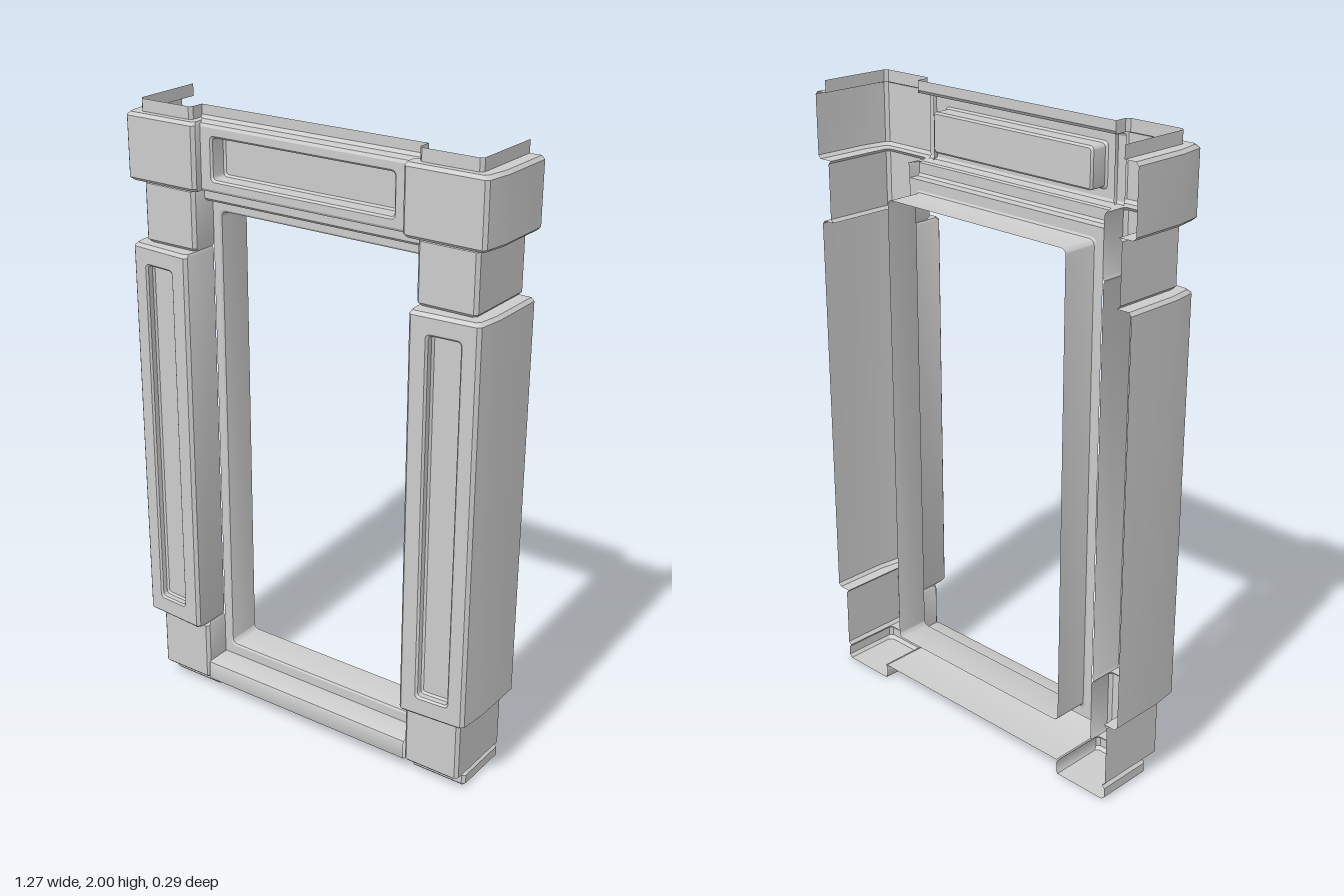
import * as THREE from 'three';
import { toCreasedNormals } from 'three/addons/utils/BufferGeometryUtils.js';

const material = new THREE.MeshStandardMaterial({ color: 0xcccccc, side: THREE.DoubleSide });
const BACK = -0.145;

// Thin skin stretched over rows of equally many points; skip(r, c) leaves a cell open
function skin(name, rows, { closed = false, skip = () => false } = {}) {
  const pos = [];
  const tri = new THREE.Triangle();
  const add = (a, b, c) => {
    tri.set(new THREE.Vector3(...a), new THREE.Vector3(...b), new THREE.Vector3(...c));
    if (tri.getArea() > 1e-8) pos.push(...a, ...b, ...c);
  };
  for (let r = 0; r < rows.length - 1; r++) {
    const n = rows[r].length;
    for (let c = 0; c < (closed ? n : n - 1); c++) {
      if (skip(r, c)) continue;
      const d = (c + 1) % n;
      add(rows[r][c], rows[r][d], rows[r + 1][d]);
      add(rows[r][c], rows[r + 1][d], rows[r + 1][c]);
    }
  }
  const geo = new THREE.BufferGeometry();
  geo.setAttribute('position', new THREE.Float32BufferAttribute(pos, 3));
  const mesh = new THREE.Mesh(toCreasedNormals(geo, 0.5), material);
  mesh.name = name;
  return mesh;
}

// Rounded rectangle ring, counter-clockwise seen from the front; z may depend on x
function ring(x0, x1, y0, y1, radius, z) {
  const points = [];
  const corners = [[x1 - radius, y1 - radius], [x0 + radius, y1 - radius],
    [x0 + radius, y0 + radius], [x1 - radius, y0 + radius]];
  corners.forEach(([cx, cy], i) => {
    for (let k = 0; k <= 4; k++) {
      const a = (i + k / 4) * Math.PI / 2;
      const x = cx + radius * Math.cos(a);
      points.push([x, cy + radius * Math.sin(a), typeof z === 'function' ? z(x) : z]);
    }
  });
  return points;
}

// Plate with a sunken rounded panel
function sunkenPlate(name, outer, hole, z, depth) {
  const [x0, x1, y0, y1] = hole;
  const b = 0.006;
  const inset = (d) => [x0 + d, x1 - d, y0 + d, y1 - d];
  const at = (d) => (x) => z(x) - d;
  const cx = (x0 + x1) / 2, cy = (y0 + y1) / 2;
  return skin(name, [
    ring(...outer, 0, z),
    ring(...hole, 0.014, z),
    ring(...inset(b), 0.012, at(b)),
    ring(...inset(b), 0.012, at(depth - b)),
    ring(...inset(2 * b), 0.008, at(depth)),
    ring(cx, cx, cy, cy, 0, at(depth)),
  ], { closed: true });
}

// Straight moulding: a (y, z) profile drawn across the full width between the pillars
function moulding(name, profile, skip) {
  return skin(name, profile.map(([y, z]) => [[-0.39, y, z], [0.39, y, z]]), { skip });
}

// Pillar section: outer wall, bevelled front, inner wall
function section([y, xo, zOuter, zInner, xi, zEnd, taper = 0], inset = 0) {
  const o = xo - inset, i = xi + inset * 0.5, zo = zOuter - inset, zi = zInner - inset;
  const b = 0.01;
  return [
    [o, y, BACK], [o, y, Math.min(0.04, zo - b)], [o - taper, y, zo - b], [o - taper - b, y, zo],
    [i + b, y, zi], [i, y, zi - b], [i, y, zEnd],
  ];
}

function pillar(name) {
  const group = new THREE.Group();
  group.name = name;
  // [bottom, top, outer x, front z outer, front z inner, inner x, end of inner wall, taper]
  const tiers = [
    [0, 0.05, 0.585, 0.05, 0.05, 0.39, BACK],
    [0.05, 0.265, 0.587, 0.10, 0.10, 0.392, 0.01],
    [0.265, 1.56, 0.627, 0.13, 0.143, 0.395, 0.01, 0.01],
    [1.56, 1.755, 0.587, 0.10, 0.10, 0.392, 0.01],
    [1.755, 1.962, 0.634, 0.13, 0.13, 0.36, 0.085, 0.012],
    [1.962, 2.0, 0.587, 0.10, 0.10, 0.39, 0.05],
  ];
  const rows = [];
  const b = 0.01;
  tiers.forEach(([y0, y1, ...rest], i) => {
    const soft = i === 5 ? 0 : b;
    rows.push(section([y0, ...rest], soft), section([y0 + b, ...rest]),
      section([y1 - b, ...rest]), section([y1, ...rest], soft));
  });
  // The shaft's front is left open for its panel
  group.add(skin('pillarShell', rows, { skip: (r, c) => r === 9 && c === 3 }));
  const slope = (x) => 0.143 + (0.13 - 0.143) * (x - 0.405) / (0.607 - 0.405);
  group.add(sunkenPlate('pillarPanel', [0.405, 0.607, 0.275, 1.55], [0.452, 0.565, 0.328, 1.502], slope, 0.03));
  // Foot underside
  group.add(skin('footBottom', [
    [[0.395, 0, BACK], [0.575, 0, BACK]],
    [[0.395, 0, 0.04], [0.575, 0, 0.04]],
  ]));
  return group;
}

export function createModel() {
  const model = new THREE.Group();
  model.name = 'doorSurround';

  // Pillars
  const left = pillar('leftPillar');
  const right = pillar('rightPillar');
  right.scale.x = -1;
  model.add(left, right);

  // Lintel with its sunken panel
  model.add(moulding('lintel', [
    [2.0, 0.05], [1.97, 0.05], [1.96, 0.058], [1.96, 0.083], [1.957, 0.093], [1.948, 0.098],
    [1.765, 0.098], [1.757, 0.093], [1.755, 0.085], [1.755, 0.055], [1.75, 0.05],
    [1.718, 0.05], [1.71, 0.042], [1.71, 0.01],
  ], (r) => r === 5));
  model.add(sunkenPlate('lintelPanel', [-0.39, 0.39, 1.765, 1.948], [-0.325, 0.32, 1.788, 1.925], () => 0.098, 0.06));

  // Sill
  model.add(moulding('sill', [
    [0.05, BACK], [0.05, 0.09], [0.053, 0.097], [0.06, 0.10], [0.11, 0.10],
    [0.117, 0.097], [0.12, 0.09], [0.12, 0.01],
  ]));

  // Door frame and the reveal running back from it
  model.add(skin('doorFrame', [
    ring(-0.392, 0.392, 0.12, 1.71, 0, 0.01),
    ring(-0.368, 0.368, 0.152, 1.678, 0.022, 0.01),
    ring(-0.362, 0.362, 0.158, 1.672, 0.018, 0.006),
    ring(-0.36, 0.36, 0.16, 1.67, 0.016, 0),
    ring(-0.36, 0.36, 0.16, 1.67, 0.016, -0.11),
  ], { closed: true }));

  return model;
}
